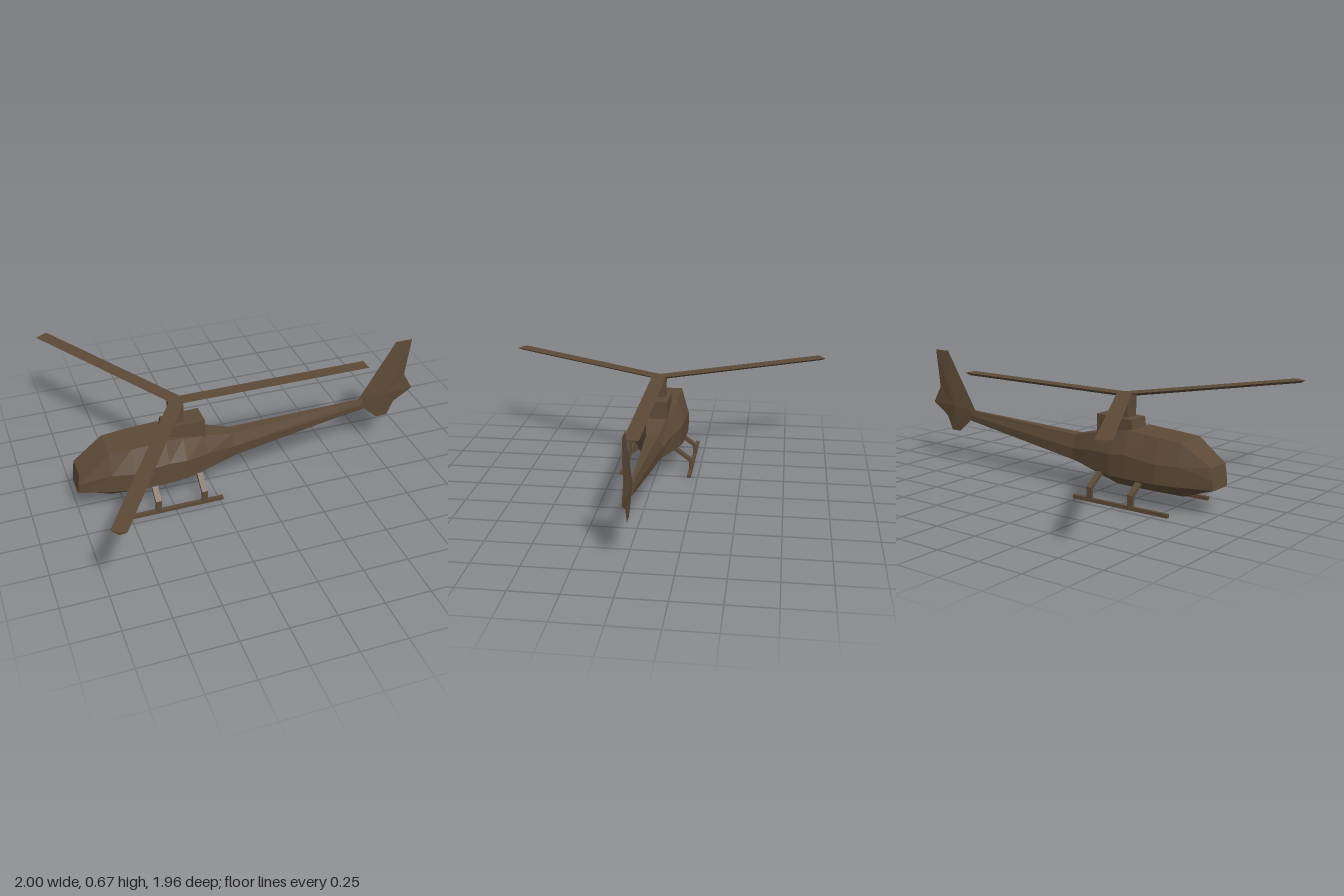
import * as THREE from 'three';

const brown = new THREE.MeshStandardMaterial({ color: 0x5c4a37, flatShading: true });
brown.name = 'brown';

function add(parent, name, geometry, x = 0, y = 0, z = 0) {
  const mesh = new THREE.Mesh(geometry, brown);
  mesh.name = name;
  mesh.position.set(x, y, z);
  parent.add(mesh);
  return mesh;
}

function fromTriangles(points) {
  const geometry = new THREE.BufferGeometry().setFromPoints(points);
  geometry.computeVertexNormals();
  return geometry;
}

// Extrude an outline, centred on its depth
function extrude(outline, depth) {
  const shape = new THREE.Shape(outline.map(([x, y]) => new THREE.Vector2(x, y)));
  return new THREE.ExtrudeGeometry(shape, { depth, bevelEnabled: false }).translate(0, 0, -depth / 2);
}

// Loft eight-sided rings: each section is [x, then four (y, half width) pairs from belly to roof]
function loft(sections) {
  const rings = sections.map(([x, ...v]) => {
    const half = [0, 2, 4, 6].map(i => [v[i], v[i + 1]]);
    const left = half.map(([y, w]) => new THREE.Vector3(x, y, w));
    const right = half.map(([y, w]) => new THREE.Vector3(x, y, -w)).reverse();
    return [...left, ...right];
  });
  // The nose leans back slightly towards the roof
  rings[0].forEach(p => { p.x += (p.y - 0.143) * 0.13; });
  const tri = [];
  for (let s = 0; s < rings.length - 1; s++) {
    for (let i = 0; i < 8; i++) {
      const j = (i + 1) % 8, a = rings[s], b = rings[s + 1];
      tri.push(a[i], b[i], b[j], a[i], b[j], a[j]);
    }
  }
  const first = rings[0], last = rings[rings.length - 1];
  for (let i = 1; i < 7; i++) {
    tri.push(first[0], first[i], first[i + 1], last[0], last[i + 1], last[i]);
  }
  return fromTriangles(tri);
}

// Thin fin: sharp outline rising to one ridge point on each side
function fin(outline, cx, cy, thick) {
  const tri = [];
  outline.forEach(([x, y], i) => {
    const [x2, y2] = outline[(i + 1) % outline.length];
    const p = new THREE.Vector3(x, y, 0), q = new THREE.Vector3(x2, y2, 0);
    tri.push(new THREE.Vector3(cx, cy, thick), q, p, new THREE.Vector3(cx, cy, -thick), p, q);
  });
  return fromTriangles(tri);
}

export function createModel() {
  const model = new THREE.Group();
  model.name = 'helicopter';

  // Cabin and tail boom
  add(model, 'fuselage', loft([
    [-1.0, 0.143, 0.05, 0.146, 0.07, 0.2, 0.075, 0.26, 0.07],
    [-0.82, 0.08, 0.05, 0.145, 0.125, 0.25, 0.125, 0.37, 0.095],
    [-0.7, 0.08, 0.055, 0.145, 0.152, 0.25, 0.152, 0.378, 0.103],
    [-0.51, 0.08, 0.055, 0.145, 0.15, 0.27, 0.148, 0.39, 0.1],
    [-0.41, 0.08, 0.05, 0.145, 0.14, 0.26, 0.14, 0.37, 0.085],
    [-0.28, 0.113, 0.04, 0.15, 0.1, 0.25, 0.1, 0.345, 0.06],
    [-0.11, 0.154, 0.025, 0.165, 0.05, 0.23, 0.056, 0.304, 0.035],
    [0.69, 0.272, 0.005, 0.28, 0.01, 0.305, 0.012, 0.336, 0.006],
  ]));

  // Tail fin
  add(model, 'tailFin', fin([
    [0.66, 0.335], [0.875, 0.675], [0.975, 0.675], [0.945, 0.45], [1.0, 0.35],
    [0.89, 0.28], [0.85, 0.195], [0.785, 0.195], [0.695, 0.275],
  ], 0.82, 0.35, 0.014));

  // Engine housing and rotor mast
  add(model, 'engineHousing', extrude(
    [[-0.51, 0.37], [-0.28, 0.33], [-0.28, 0.448], [-0.5, 0.44]], 0.13));
  add(model, 'rotorMast', new THREE.BoxGeometry(0.07, 0.12, 0.08), -0.425, 0.495, 0);

  // Three rotor blades, flat on top with a keel below
  const rotor = new THREE.Group();
  rotor.name = 'rotor';
  rotor.position.set(-0.411, 0.545, 0);
  model.add(rotor);
  const blade = extrude([[-0.04, 0.02], [0, 0], [0.04, 0.02]], 1.108)
    .translate(0, 0, 0.554).rotateY(Math.PI / 2);
  for (let i = 0; i < 3; i++) {
    add(rotor, 'rotorBlade', blade).rotation.y = (i * Math.PI * 2) / 3;
  }

  // Landing skids with bent struts
  const strut = extrude([
    [0.192, 0.01], [0.21, 0.01], [0.21, 0.083], [0.12, 0.15], [0.1, 0.14], [0.192, 0.073],
  ], 0.032).rotateY(-Math.PI / 2);
  for (const side of [1, -1]) {
    const skid = new THREE.Group();
    skid.name = side > 0 ? 'frontSkid' : 'backSkid';
    model.add(skid);
    add(skid, 'runner', new THREE.BoxGeometry(0.59, 0.02, 0.02), -0.525, 0.013, side * 0.2);
    for (const x of [-0.595, -0.335]) {
      add(skid, 'strut', strut, x).rotation.y = side > 0 ? 0 : Math.PI;
    }
  }
  model.position.y = -0.003;
  return model;
}
